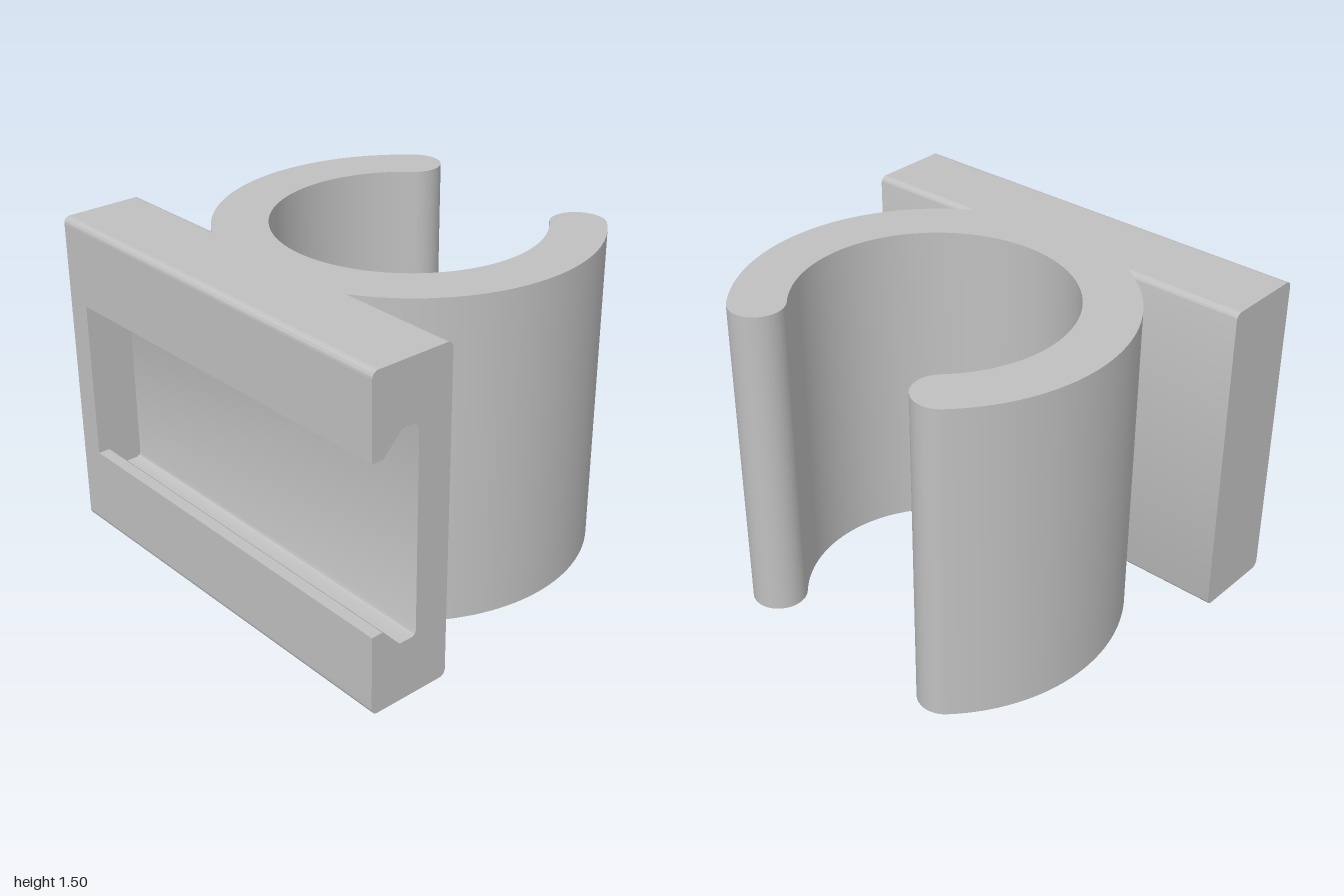
import * as THREE from 'three';
import { toCreasedNormals } from 'three/addons/utils/BufferGeometryUtils.js';

const H = 1.5, MID = H / 2;
const X0 = -0.87, X1 = -0.475, R = 0.03; // plate sides and edge radius
const SLOT_END = -0.88;                  // z where the slot stops

// Plate cross-section with rounded corners; the slot opens through the -x side.
function plateShape(slot) {
  const s = new THREE.Shape();
  s.moveTo(X0, R);
  s.absarc(X0 + R, R, R, Math.PI, Math.PI * 1.5);
  s.absarc(X1 - R, R, R, Math.PI * 1.5, Math.PI * 2);
  s.absarc(X1 - R, H - R, R, 0, Math.PI / 2);
  s.absarc(X0 + R, H - R, R, Math.PI / 2, Math.PI);
  if (slot) {
    const half = [[X0, 0.38], [-0.815, 0.38], [-0.725, 0.475], [-0.66, 0.475], [-0.646, 0.469], [-0.64, 0.455]];
    half.forEach(([x, d]) => s.lineTo(x, MID + d));
    [...half].reverse().forEach(([x, d]) => s.lineTo(x, MID - d));
  }
  s.closePath();
  return s;
}

function extrude(shape, depth) {
  return new THREE.ExtrudeGeometry(shape, { depth, bevelEnabled: false, curveSegments: 48 });
}

export function createModel() {
  const group = new THREE.Group();
  const grey = new THREE.MeshStandardMaterial({ color: 0xc0c0c0 });
  grey.name = 'grey plastic';

  const add = (name, geometry) => {
    const mesh = new THREE.Mesh(toCreasedNormals(geometry, 0.5), grey);
    mesh.name = name;
    group.add(mesh);
  };

  // Slotted plate; the slot narrows slightly towards its closed end
  const channel = extrude(plateShape(true), 1 - SLOT_END);
  channel.translate(0, 0, SLOT_END);
  const p = channel.attributes.position;
  for (let i = 0; i < p.count; i++) {
    const dy = p.getY(i) - MID;
    if (p.getZ(i) < 0 && Math.abs(dy) < 0.6) {
      p.setY(i, p.getY(i) - Math.sign(dy) * 0.013);
      if (p.getX(i) > -0.7) p.setX(i, p.getX(i) - 0.01);
    }
  }
  add('slottedPlate', channel);

  // Solid wall closing the slot at the back
  const wall = extrude(plateShape(false), 1 + SLOT_END);
  wall.translate(0, 0, -1);
  add('plateEndWall', wall);

  // C-shaped clip with rounded tips
  const cx = 0.23, ro = 0.848, ri = 0.602, rm = (ro + ri) / 2, rt = (ro - ri) / 2;
  const q = Math.PI / 4, t = rm * Math.SQRT1_2;
  const c = new THREE.Shape();
  c.absarc(cx, 0, ro, q, 7 * q, false);
  c.absarc(cx + t, -t, rt, 7 * q, 11 * q, false);
  c.absarc(cx, 0, ri, 7 * q, q, true);
  c.absarc(cx + t, t, rt, 5 * q, 9 * q, false);
  const clip = extrude(c, H);
  clip.rotateX(-Math.PI / 2);
  add('clipRing', clip);

  return group;
}
